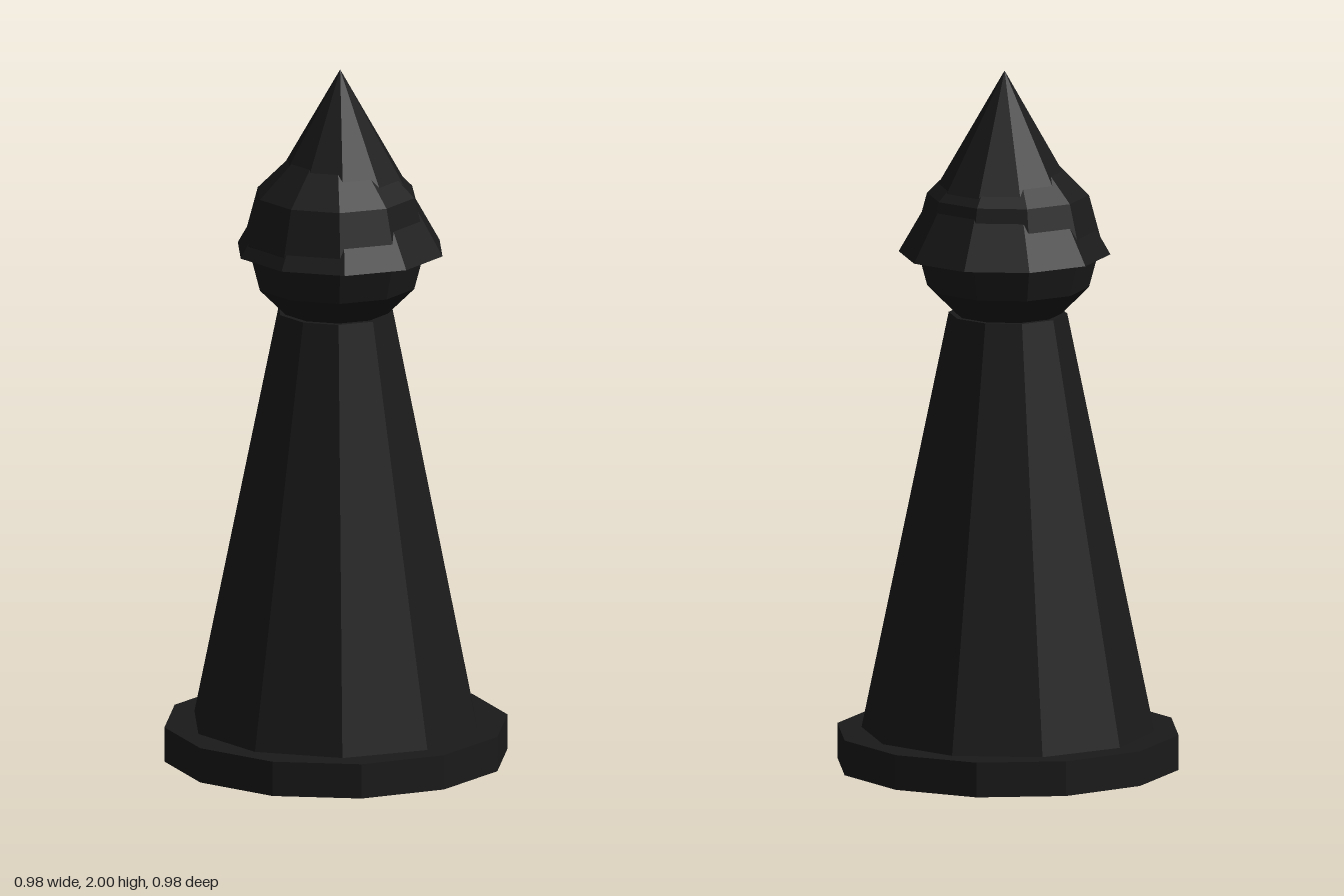
import * as THREE from 'three';

export function createModel() {
  const group = new THREE.Group();
  const material = new THREE.MeshStandardMaterial({ color: 0x1a1a1a, flatShading: true });

  function addPart(name, geometry, y, z = 0) {
    const mesh = new THREE.Mesh(geometry, material);
    mesh.name = name;
    mesh.position.set(0, y, z);
    group.add(mesh);
  }

  // Tapered prism with corners on the x axis
  const prism = (top, bottom, height, sides) =>
    new THREE.CylinderGeometry(top, bottom, height, sides).rotateY(Math.PI / 2);

  // Twelve-sided foot plate
  addPart('base', prism(0.49, 0.49, 0.1, 12), 0.05);

  // Ten-sided tapering stem
  addPart('body', prism(0.168, 0.415, 1.2, 10), 0.7);

  // Faceted ball, partly covered by the cap
  addPart('head', new THREE.SphereGeometry(0.265, 10, 6), 1.51);

  // Pointed cap, set slightly back
  addPart('cap', prism(0, 0.3, 0.525, 10), 1.7375, -0.015);

  return group;
}
